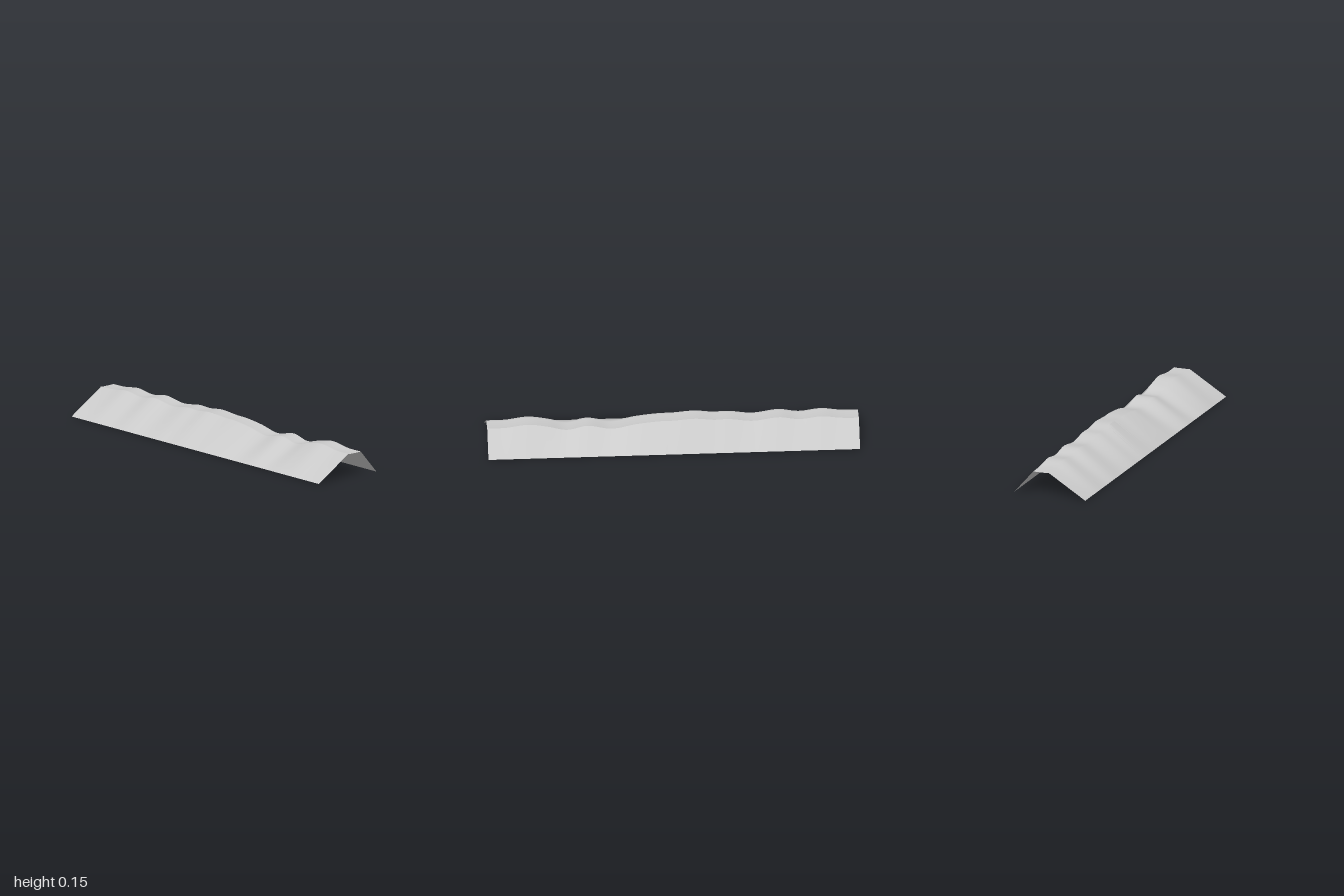
import * as THREE from 'three';
import { toCreasedNormals } from 'three/addons/utils/BufferGeometryUtils.js';

// Crest height along the bank, as [z, height]
const CREST = [
  [-1, 0.13], [-0.9, 0.133], [-0.8, 0.145], [-0.68, 0.132], [-0.57, 0.147],
  [-0.43, 0.13], [-0.3, 0.145], [-0.22, 0.143], [-0.12, 0.153], [0.0, 0.145],
  [0.08, 0.143], [0.2, 0.13], [0.33, 0.107], [0.46, 0.129], [0.57, 0.108],
  [0.68, 0.132], [0.78, 0.146], [0.9, 0.131], [1, 0.13],
];

// Smooth cubic interpolation of the crest height
function crestHeight(z) {
  let i = 0;
  while (i < CREST.length - 2 && z > CREST[i + 1][0]) i++;
  const slope = (k) => {
    if (k === 0 || k === CREST.length - 1) return 0;
    const [a, b] = [CREST[k - 1], CREST[k + 1]];
    return (b[1] - a[1]) / (b[0] - a[0]);
  };
  const [z0, h0] = CREST[i], [z1, h1] = CREST[i + 1];
  const d = z1 - z0, t = (z - z0) / d, t2 = t * t, t3 = t2 * t;
  return (2 * t3 - 3 * t2 + 1) * h0 + (t3 - 2 * t2 + t) * d * slope(i)
    + (3 * t2 - 2 * t3) * h1 + (t3 - t2) * d * slope(i + 1);
}

// Cross-section of the bank: gentle slope, flat crest, steep slope
const section = (h) => [
  [-0.207, 0], [0.003, h], [0.016, h - 0.001], [0.08, h - 0.001], [0.094, h], [0.207, 0],
];

// Open sheet swept along z
function bankGeometry(steps) {
  const positions = [], index = [];
  const n = section(0).length;
  for (let i = 0; i <= steps; i++) {
    const z = -1 + (2 * i) / steps;
    for (const [x, y] of section(crestHeight(z))) positions.push(x, y, z);
  }
  for (let i = 0; i < steps; i++) {
    for (let j = 0; j < n - 1; j++) {
      const a = i * n + j, b = a + n;
      index.push(a, b, b + 1, a, b + 1, a + 1);
    }
  }
  const geometry = new THREE.BufferGeometry();
  geometry.setAttribute('position', new THREE.Float32BufferAttribute(positions, 3));
  geometry.setIndex(index);
  // The steep shoulder stays sharp, the gentle one is smooth
  return toCreasedNormals(geometry, THREE.MathUtils.degToRad(40));
}

export function createModel() {
  const group = new THREE.Group();
  group.name = 'embankment';
  const material = new THREE.MeshStandardMaterial({ color: 0xcccccc, side: THREE.DoubleSide });
  const bank = new THREE.Mesh(bankGeometry(120), material);
  bank.name = 'earthBank';
  group.add(bank);
  return group;
}
